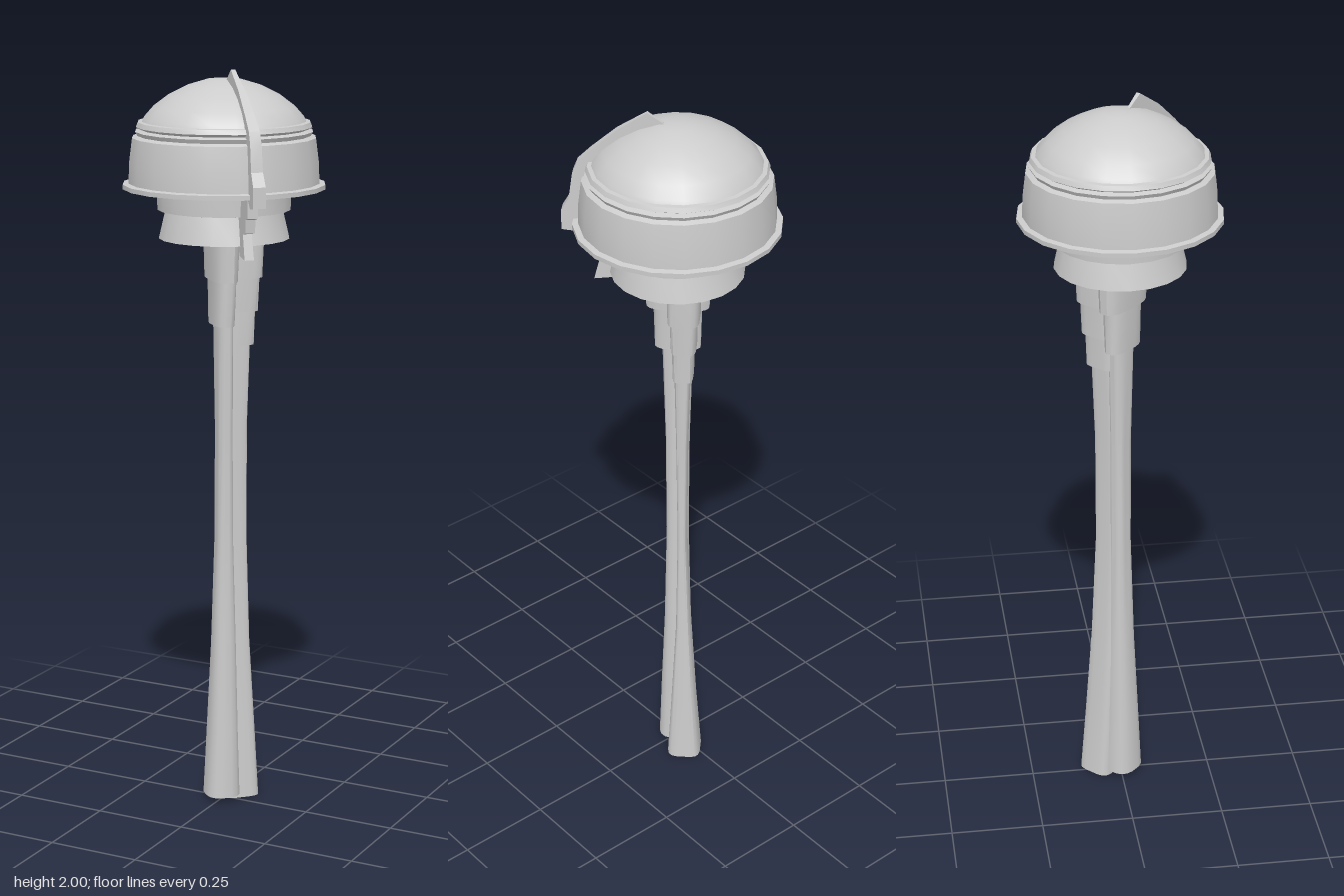
import * as THREE from 'three';
import { toCreasedNormals } from 'three/addons/utils/BufferGeometryUtils.js';

const material = new THREE.MeshStandardMaterial({ color: 0xcccccc, side: THREE.DoubleSide });

function part(name, geometry, crease = 0.6) {
  const mesh = new THREE.Mesh(toCreasedNormals(geometry, crease), material);
  mesh.name = name;
  return mesh;
}

function lathe(name, profile, sides) {
  return part(name, new THREE.LatheGeometry(profile.map(([r, y]) => new THREE.Vector2(r, y)), sides), 0.5);
}

// Capped column through rounded-box sections: [y, xMin, xMax, zMin, zMax]
function column(name, sections, power, sides = 16) {
  const pos = [], index = [];
  const rounded = (c) => Math.sign(c) * Math.abs(c) ** power;
  for (const [y, x0, x1, z0, z1] of sections) {
    for (let i = 0; i < sides; i++) {
      const a = ((i + 0.5) / sides) * Math.PI * 2;
      pos.push((x0 + x1) / 2 + rounded(Math.cos(a)) * (x1 - x0) / 2, y,
        (z0 + z1) / 2 + rounded(Math.sin(a)) * (z1 - z0) / 2);
    }
  }
  for (let s = 0; s < sections.length - 1; s++) {
    for (let i = 0; i < sides; i++) {
      const a = s * sides + i, b = s * sides + (i + 1) % sides;
      index.push(a, a + sides, b, b, a + sides, b + sides);
    }
  }
  const top = (sections.length - 1) * sides;
  for (let i = 1; i < sides - 1; i++) index.push(0, i, i + 1, top, top + i + 1, top + i);
  const g = new THREE.BufferGeometry();
  g.setAttribute('position', new THREE.Float32BufferAttribute(pos, 3));
  g.setIndex(index);
  return part(name, g);
}

// Upright plate in the xy plane whose thickness grows outward along x
function fin(name, outline) {
  const shape = new THREE.Shape(outline.map(([x, y]) => new THREE.Vector2(x, y)));
  const g = new THREE.ExtrudeGeometry(shape, { depth: 1, bevelEnabled: false });
  const p = g.attributes.position;
  for (let i = 0; i < p.count; i++) {
    p.setZ(i, (p.getZ(i) - 0.5) * (0.008 + 0.1 * Math.max(0, p.getX(i) - 0.04)));
  }
  return part(name, g, 0.3);
}

export function createModel() {
  const model = new THREE.Group();
  model.name = 'domedTower';

  // Domed head: brim, skirt, grooved band and cap
  model.add(lathe('brim', [[0.15, 1.7], [0.265, 1.69], [0.265, 1.702], [0.248, 1.705]], 20));
  model.add(lathe('skirt', [[0.25, 1.7], [0.248, 1.76], [0.24, 1.822], [0.225, 1.828]], 20));
  model.add(lathe('band', [[0.225, 1.825], [0.232, 1.838], [0.218, 1.843], [0.23, 1.85],
    [0.225, 1.862], [0.21, 1.864]], 20));
  model.add(lathe('dome', [[0.218, 1.855], [0.21, 1.872], [0.185, 1.9], [0.145, 1.93],
    [0.095, 1.955], [0.045, 1.97], [0, 1.973]], 20));

  // Hollow drum under the head
  model.add(lathe('neck', [[0, 1.685], [0.145, 1.68], [0.162, 1.56], [0.172, 1.56], [0.155, 1.632],
    [0.175, 1.635], [0.177, 1.7]], 20));

  // Shaft and fins lie along the diagonal: local x points to +x +z
  const diagonal = new THREE.Group();
  diagonal.name = 'shaftAndFins';
  diagonal.rotation.y = -Math.PI / 4;
  model.add(diagonal);

  // Broad column with a stepped capital
  diagonal.add(column('mainColumn', [
    [0.02, -0.052, 0.052, -0.04, 0.055], [0.2, -0.046, 0.046, -0.035, 0.046],
    [0.45, -0.036, 0.036, -0.03, 0.034], [0.75, -0.03, 0.03, -0.022, 0.024],
    [1.05, -0.032, 0.032, -0.02, 0.022], [1.33, -0.04, 0.04, -0.02, 0.025],
    [1.33, -0.06, 0.06, -0.02, 0.035], [1.45, -0.063, 0.063, -0.025, 0.037],
    [1.45, -0.082, 0.082, -0.025, 0.042], [1.56, -0.085, 0.085, -0.03, 0.045],
    [1.68, -0.085, 0.085, -0.03, 0.045],
  ], 0.75));

  // Narrow buttress behind it, reaching back in steps toward the top
  diagonal.add(column('buttress', [
    [0.005, -0.07, 0.022, -0.1, 0], [0.2, -0.055, 0.012, -0.09, 0],
    [0.45, -0.04, 0, -0.076, 0], [0.75, -0.028, -0.004, -0.067, 0],
    [1.05, -0.03, 0, -0.067, 0], [1.27, -0.036, 0.004, -0.074, 0],
    [1.27, -0.045, 0.008, -0.085, 0], [1.36, -0.047, 0.01, -0.088, 0],
    [1.36, -0.053, 0.012, -0.096, 0], [1.45, -0.055, 0.015, -0.1, 0],
    [1.45, -0.062, 0.02, -0.107, 0], [1.56, -0.065, 0.022, -0.112, 0],
    [1.68, -0.065, 0.022, -0.112, 0],
  ], 0.5));

  // Crest over the dome and its stepped continuation below the brim
  diagonal.add(fin('crest', [[0.03, 1.95], [0.035, 1.972], [0.075, 2], [0.15, 1.952], [0.215, 1.895],
    [0.25, 1.86], [0.262, 1.83], [0.272, 1.76], [0.292, 1.725], [0.292, 1.672], [0.262, 1.668], [0.23, 1.7]]));
  diagonal.add(fin('lowerFin', [[0.14, 1.7], [0.24, 1.7], [0.24, 1.64], [0.222, 1.635], [0.218, 1.6],
    [0.195, 1.595], [0.212, 1.53], [0.165, 1.535], [0.15, 1.56]]));
  return model;
}
